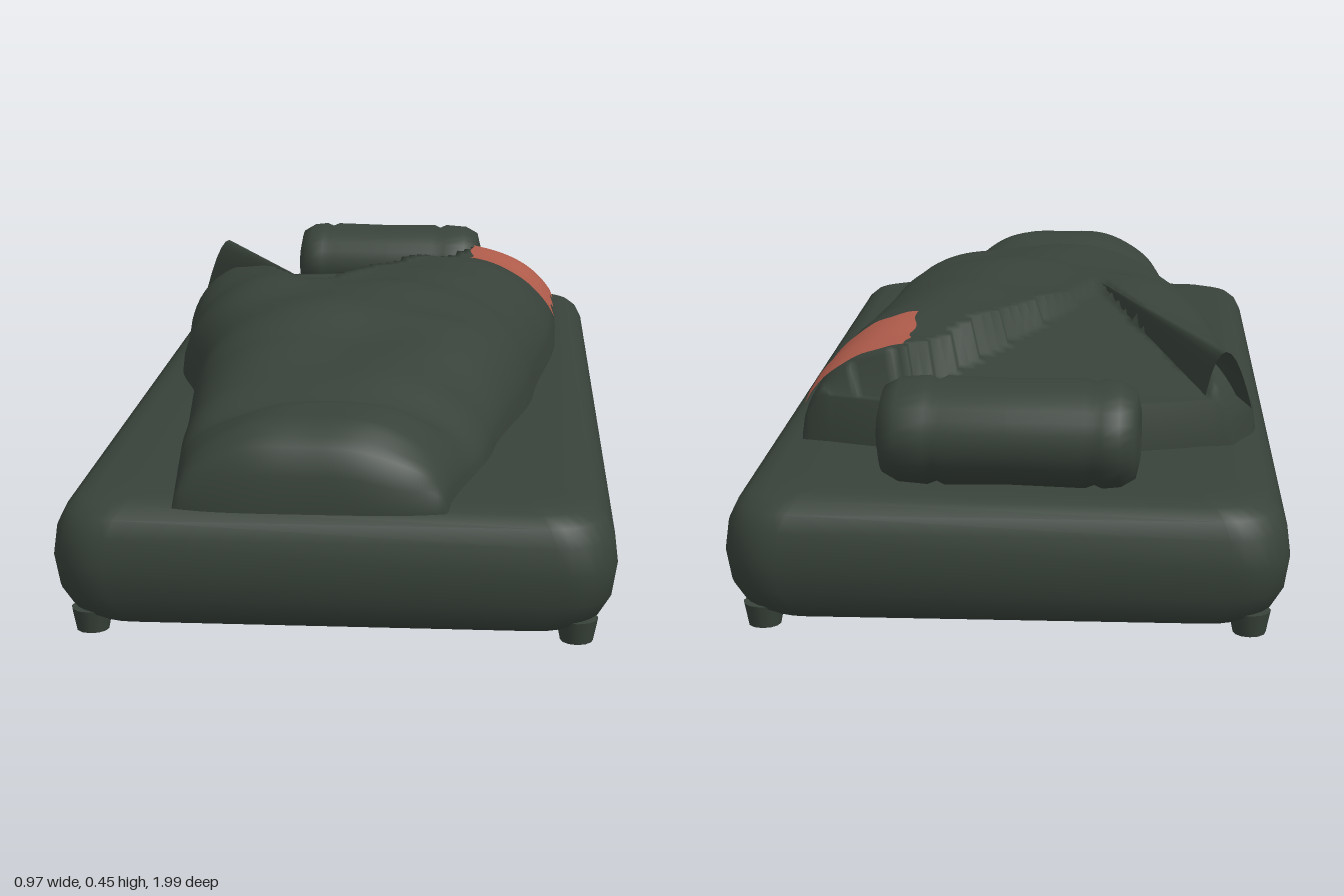
import * as THREE from 'three';
import { mergeVertices } from 'three/addons/utils/BufferGeometryUtils.js';
import { ParametricGeometry } from 'three/addons/geometries/ParametricGeometry.js';

const { lerp, clamp, smoothstep } = THREE.MathUtils;

// smooth lookup in a short table of [position, value] pairs
function profile(table, t) {
  for (let i = 1; i < table.length; i++) {
    const [a, va] = table[i - 1], [b, vb] = table[i];
    if (t <= b) return lerp(va, vb, smoothstep(t, a, b) * 0.5 + 0.5 * clamp((t - a) / (b - a), 0, 1));
  }
  return table[table.length - 1][1];
}

// smooth surface from a rule (u, v) -> [x, y, z]
function surface(rule, nu, nv) {
  const g = new ParametricGeometry((u, v, p) => p.set(...rule(u, v)), nu, nv);
  g.deleteAttribute('normal');
  g.deleteAttribute('uv');
  const merged = mergeVertices(g, 1e-5);
  merged.computeVertexNormals();
  return merged;
}

// sleeping bag outline and ridge height along z
const BASE = 0.23;
const rightEdge = [[-0.7, 0.38], [-0.55, 0.405], [-0.3, 0.4], [0.2, 0.345], [0.6, 0.27], [1, 0.19]];
const leftEdge = [[-0.7, -0.37], [-0.45, -0.445], [0, -0.4], [0.25, -0.335], [0.6, -0.305], [1, -0.265]];
const ridge = [[-0.69, 0.18], [-0.6, 0.185], [-0.3, 0.2], [0, 0.208], [0.3, 0.212], [0.42, 0.18],
  [0.6, 0.15], [0.72, 0.118], [0.83, 0.152], [0.91, 0.148], [0.96, 0.115], [0.985, 0.06]];

function bagHeight(x, z) {
  const l = profile(leftEdge, z), r = profile(rightEdge, z);
  const u = clamp((2 * x - l - r) / (r - l), -1, 1);
  const round = Math.sqrt(1 - Math.abs(u) ** lerp(3.6, 2.4, smoothstep(z, 0, 0.8)));
  const folds = 0.005 * Math.sin(17 * x + 9 * z) + 0.004 * Math.sin(26 * z - 11 * x)
    + 0.004 * Math.sin(31 * x * z + 13 * z);
  let h = (profile(ridge, z) + folds) * round;
  // unzipped opening and the low lining lip beyond it
  const s = (-0.04 - z) / 0.56;
  const open = s > 0 && x > -0.14 - 0.23 * s && x < -0.14 + 0.35 * s;
  if (z < -0.6) h = Math.min(h, lerp(0.095, 0.03, smoothstep(z, -0.6, -0.69) ? (-0.6 - z) / 0.09 : 0));
  else if (open) h = Math.min(h, lerp(0.19, 0.095, s));
  return BASE + h;
}

export function createModel() {
  const group = new THREE.Group();
  const green = new THREE.MeshStandardMaterial({ color: 0x38423a, side: THREE.DoubleSide });
  green.name = 'darkGreenFabric';
  const red = new THREE.MeshStandardMaterial({ color: 0xb05c4b, side: THREE.DoubleSide });
  red.name = 'redPatch';
  const add = (name, geometry, material = green) => {
    const mesh = new THREE.Mesh(geometry, material);
    mesh.name = name;
    group.add(mesh);
    return mesh;
  };

  // mattress: rounded rectangle rings stacked as [height, inset]
  const layers = [[0.022, 0.48], [0.02, 0.09], [0.02, 0.05], [0.035, 0.028], [0.075, 0.008], [0.13, 0],
    [0.18, 0.006], [0.21, 0.02], [0.228, 0.04], [0.237, 0.07], [0.24, 0.14], [0.24, 0.48]];
  const corner = 0.1, steps = 8, around = 4 * steps;
  add('mattress', surface((u, v) => {
    const k = Math.round(u * around) % around;
    const q = Math.floor(k / steps);
    const a = (q + (k % steps) / (steps - 1)) * Math.PI / 2;
    const sx = q === 0 || q === 3 ? 1 : -1, sz = q < 2 ? -1 : 1;
    const [y, inset] = layers[Math.round(v * (layers.length - 1))];
    const x = sx * (0.483 - corner) + corner * Math.cos(a);
    const z = sz * (0.995 - corner) - corner * Math.sin(a);
    return [x * (1 - inset / 0.48), y, z * (1 - inset)];
  }, around, layers.length - 1));

  // small feet under the corners
  for (const x of [-1, 1]) for (const z of [-1, 1]) {
    add('foot', new THREE.CylinderGeometry(0.036, 0.028, 0.04, 12)).position.set(x * 0.415, 0.02, z * 0.925);
  }

  // sleeping bag cover, from foot end to head end
  add('sleepingBag', surface((u, v) => {
    const a = Math.sin((u - 0.5) * Math.PI);
    const side = lerp(a, 2 * u - 1, 0.45);
    const w = clamp((v - 0.012) / 0.976, 0, 1);
    const z = lerp(0.985 - 0.02 * side ** 4, -0.69 + 0.09 * side * side, w);
    const x = lerp(profile(leftEdge, z), profile(rightEdge, z), (side + 1) / 2);
    return [x, v === 0 || v === 1 ? BASE : bagHeight(x, z), z];
  }, 64, 84));

  // turned-up flap beside the opening
  const apex = new THREE.Vector3(-0.14, 0.43, -0.04);
  const flapEnds = [[-0.43, 0.3, -0.57], [-0.375, 0.53, -0.65], [-0.34, 0.3, -0.58]]
    .map(p => new THREE.Vector3(...p));
  add('openFlap', surface((u, v) => {
    const pts = flapEnds.map(p => apex.clone().lerp(p, v));
    return new THREE.QuadraticBezierCurve3(...pts).getPoint(u).toArray();
  }, 10, 16));

  // red patch lying just above the cover
  add('patch', surface((u, v) => {
    const ragged = 0.004 * Math.sin(u * 17) + 0.01 * Math.sin(u * 3);
    const z = lerp(-0.345 + ragged, -0.575 + ragged * 0.5, v);
    const x = lerp(0.207 + 0.004 * Math.sin(v * 15), 0.39 - 0.008 * Math.sin(v * 9) ** 2, u);
    return [x + 0.007 * u * u, bagHeight(x, z) + 0.006, z];
  }, 16, 16), red);

  // rolled pillow with soft ends and two strap creases
  const roll = [[0, -0.215], [0.05, -0.222], [0.085, -0.215], [0.102, -0.19], [0.106, -0.16], [0.099, -0.145],
    [0.106, -0.13], [0.103, 0], [0.106, 0.11], [0.098, 0.125], [0.106, 0.14], [0.102, 0.19],
    [0.085, 0.218], [0.05, 0.226], [0, 0.218]].map(p => new THREE.Vector2(...p));
  const pillow = add('rolledPillow', new THREE.LatheGeometry(roll, 28));
  pillow.rotation.set(0, -0.04, -Math.PI / 2);
  pillow.scale.set(0.88, 1, 1);
  pillow.position.set(-0.005, 0.325, -0.845);

  return group;
}
